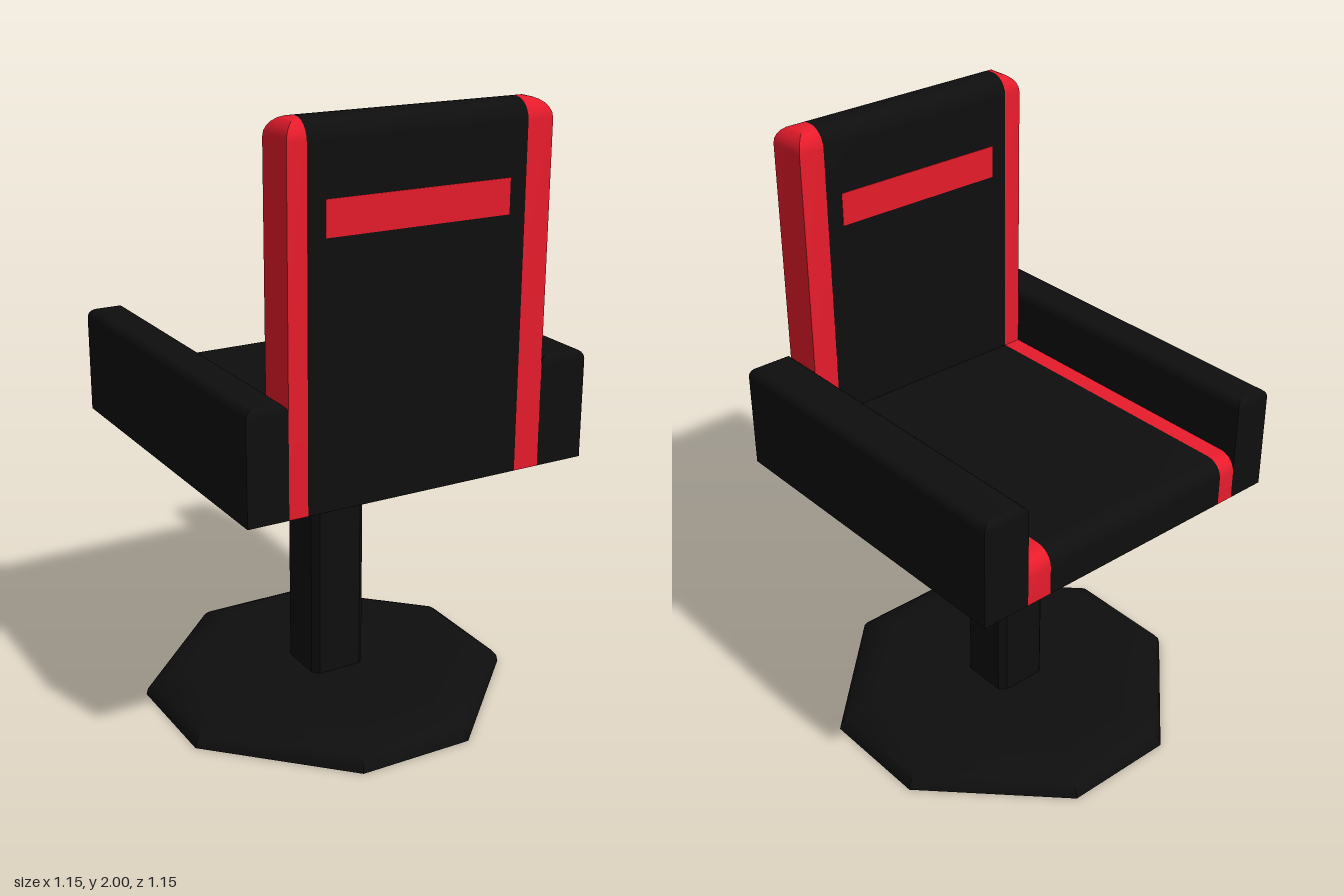
import * as THREE from 'three';
import { toCreasedNormals } from 'three/addons/utils/BufferGeometryUtils.js';

const black = new THREE.MeshStandardMaterial({ color: 0x0e0e0e });
const red = new THREE.MeshStandardMaterial({ color: 0xe61b2b });

// Solid through stacked convex rings, each counter-clockwise seen from above
function ringSolid(rings) {
  const pos = [];
  const tri = (a, b, c) => pos.push(...a, ...b, ...c);
  const n = rings[0].length;
  for (let k = 0; k < rings.length - 1; k++) {
    const lo = rings[k], hi = rings[k + 1];
    for (let i = 0; i < n; i++) {
      const j = (i + 1) % n;
      tri(lo[i], lo[j], hi[j]);
      tri(lo[i], hi[j], hi[i]);
    }
  }
  const bottom = rings[0], top = rings[rings.length - 1];
  for (let i = 1; i < n - 1; i++) {
    tri(bottom[0], bottom[i + 1], bottom[i]);
    tri(top[0], top[i], top[i + 1]);
  }
  const g = new THREE.BufferGeometry();
  g.setAttribute('position', new THREE.Float32BufferAttribute(pos, 3));
  return toCreasedNormals(g, 0.6);
}

// Block whose top edges are rounded on the chosen sides: [-x, +x, -z, +z]
function block([x0, x1], [y0, y1], [z0, z1], r, [l, m, b, f]) {
  const ring = (y, d) => [
    [x0 + l * d, y, z1 - f * d], [x1 - m * d, y, z1 - f * d],
    [x1 - m * d, y, z0 + b * d], [x0 + l * d, y, z0 + b * d],
  ];
  const rings = [ring(y0, 0)];
  const steps = 6;
  for (let i = 0; i <= steps; i++) {
    const a = (i / steps) * Math.PI / 2;
    rings.push(ring(y1 - r + r * Math.sin(a), r * (1 - Math.cos(a))));
  }
  return ringSolid(rings);
}

// Square ring with cut corners: half width h, half straight edge e
const cutSquare = (h, e, y) => [
  [-e, y, h], [e, y, h], [h, y, e], [h, y, -e],
  [e, y, -h], [-e, y, -h], [-h, y, -e], [-h, y, e],
];

export function createModel() {
  const model = new THREE.Group();
  const add = (name, geometry, material) => {
    const mesh = new THREE.Mesh(geometry, material);
    mesh.name = name;
    model.add(mesh);
  };

  // Foot with a softly rounded rim
  const foot = [];
  for (let i = 0; i <= 6; i++) {
    const a = (i / 6) * Math.PI / 2;
    const h = 0.43 + 0.145 * Math.cos(a);
    foot.push(cutSquare(h, h / 3, 0.08 * Math.sin(a)));
  }
  add('foot', ringSolid(foot), black);

  // Post
  add('post', ringSolid([cutSquare(0.095, 0.074, 0.07), cutSquare(0.095, 0.074, 0.9)]), black);

  // Seat and backrest share the same three bands across x
  const bands = [
    ['RightStripe', [-0.44, -0.38], red, 1, 0],
    ['Panel', [-0.38, 0.325], black, 0, 0],
    ['LeftStripe', [0.325, 0.41], red, 0, 1],
  ];
  for (const [name, x, material, l, m] of bands) {
    add('seat' + name, block(x, [0.89, 1.04], [-0.575, 0.44], 0.055, [0, 0, 1, 0]), material);
    add('backrest' + name, block(x, [0.89, 2], [0.44, 0.575], 0.06, [l, m, 1, 1]), material);
  }

  // Crossbar inlay, showing on both faces of the backrest
  const bar = new THREE.BoxGeometry(0.595, 0.105, 0.139);
  bar.translate(-0.027, 1.732, 0.5075);
  add('backrestCrossbar', bar, red);

  // Armrests
  for (const [name, x] of [['rightArmrest', [-0.57, -0.44]], ['leftArmrest', [0.41, 0.57]]]) {
    add(name, block(x, [0.89, 1.235], [-0.575, 0.575], 0.03, [1, 1, 0.6, 0.6]), black);
  }

  return model;
}
